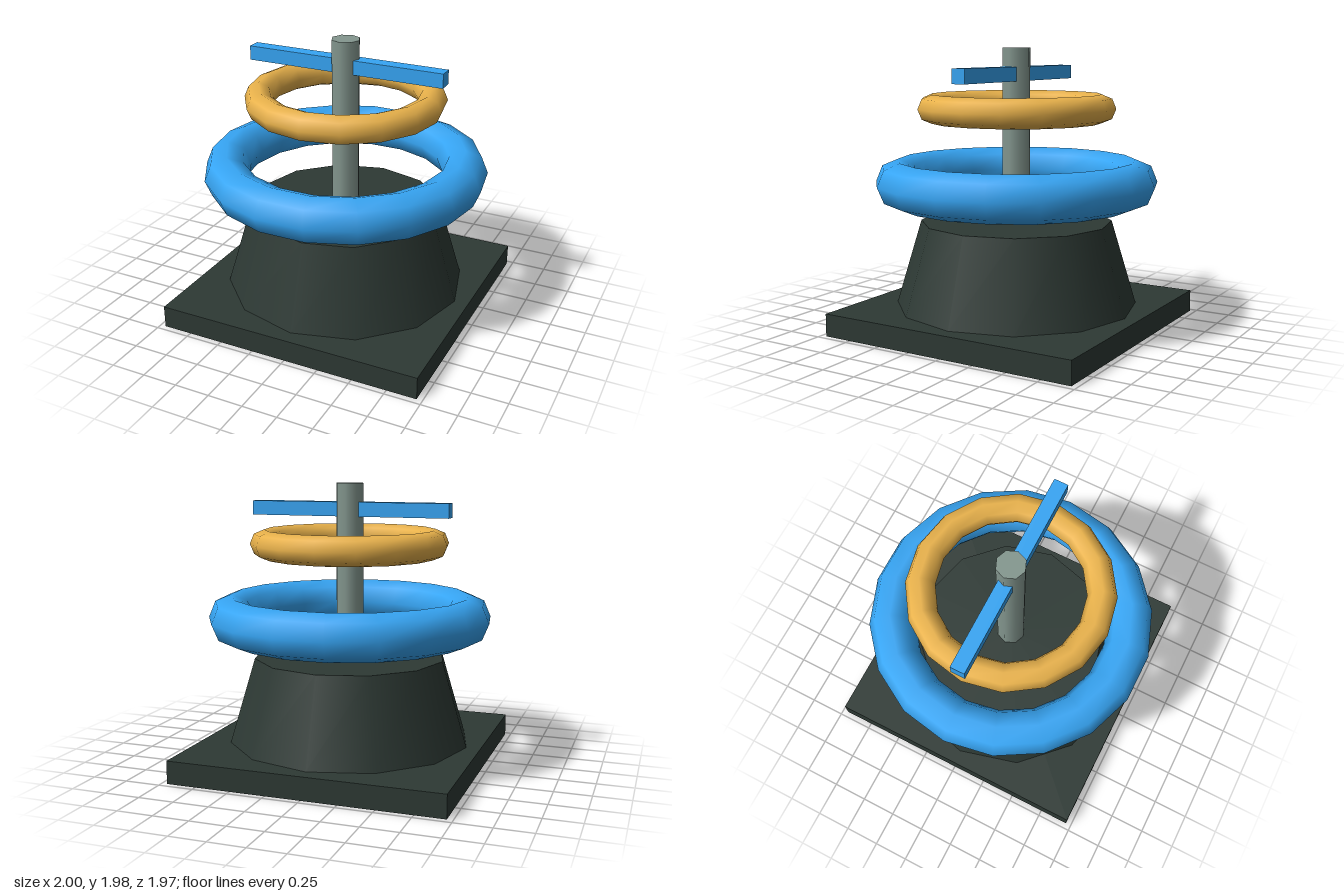
import * as THREE from 'three';

export function createModel() {
  const model = new THREE.Group();
  const paint = (color) => new THREE.MeshStandardMaterial({ color });
  const dark = paint(0x2d3934);
  const blue = paint(0x36a5f4);
  const gold = paint(0xe9b24b);
  const steel = paint(0x84978f);

  const add = (name, geometry, material, y) => {
    const mesh = new THREE.Mesh(geometry, material);
    mesh.name = name;
    mesh.position.y = y;
    model.add(mesh);
    return mesh;
  };

  // Square plinth and tapered pedestal
  add('basePlate', new THREE.BoxGeometry(1.92, 0.16, 1.92), dark, 0.08);
  add('pedestal', new THREE.CylinderGeometry(0.68, 0.86, 0.6, 12), dark, 0.46);

  // Central post, seated slightly into the pedestal
  add('post', new THREE.CylinderGeometry(0.1, 0.1, 1.24, 8), steel, 1.36);

  // Floating horizontal rings
  const ring = (name, radius, tube, sides, material, y) =>
    add(name, new THREE.TorusGeometry(radius, tube, 8, sides).rotateX(Math.PI / 2), material, y);
  ring('lowerRing', 0.84, 0.16, 18, blue, 1.04);
  ring('upperRing', 0.6, 0.1, 16, gold, 1.56);

  // Crossbar through the post
  add('crossbar', new THREE.BoxGeometry(1.44, 0.1, 0.1), blue, 1.8);

  return model;
}
